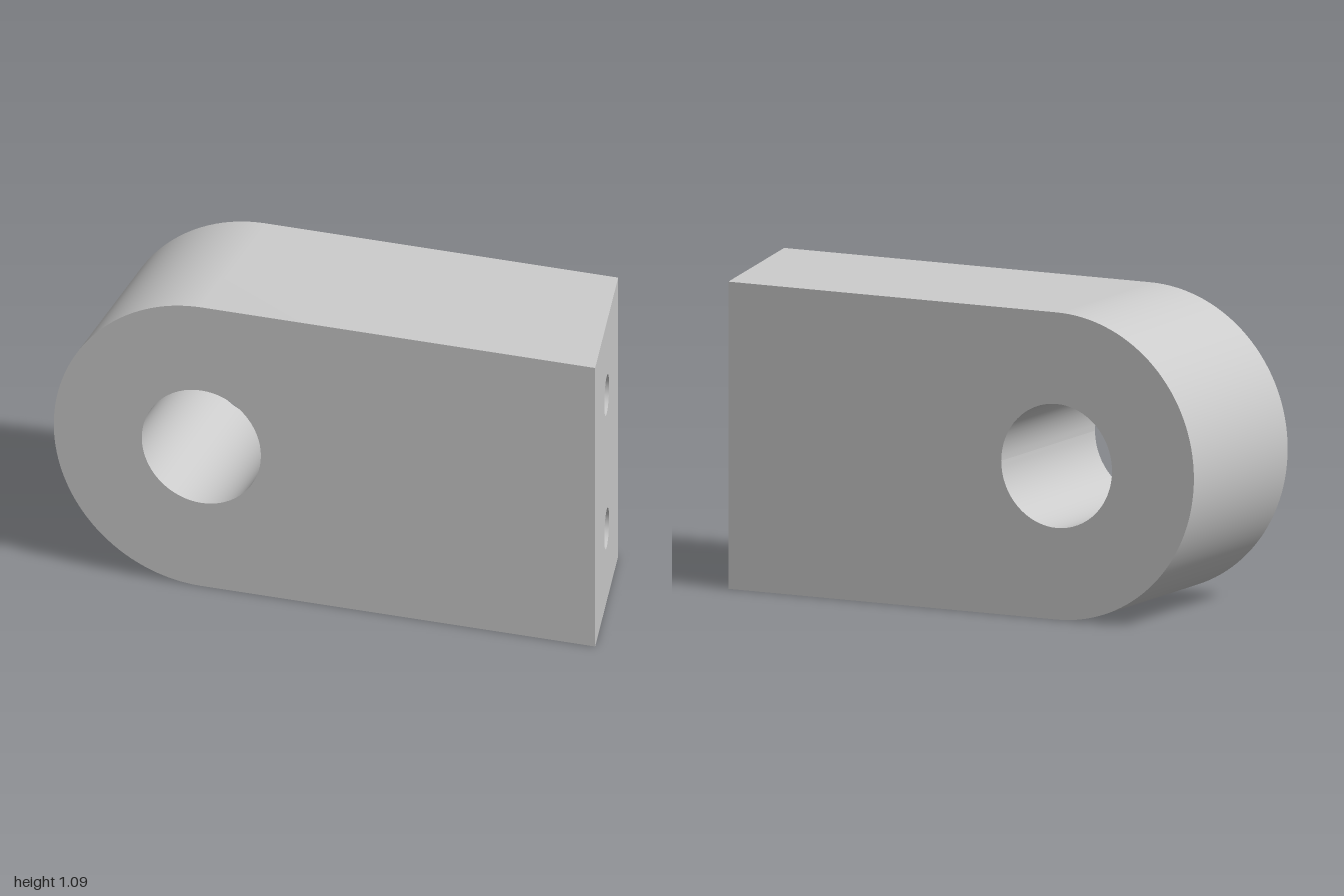
import * as THREE from 'three';

const R = 0.545;            // radius of the rounded end, half the height
const CX = -0.455;          // centre of the rounded end and cross bore
const HALF = 0.345;         // half depth
const BORE = 0.22;
const SCREW = 0.073;
const SCREW_END = 0.4;      // x of the bottom of the blind holes
const SCREW_Y = [0.285, 0.807];
const endX = z => 0.924 + 0.218 * z;   // slanted end

const material = new THREE.MeshStandardMaterial({ color: 0xcccccc });

// Points of an arc, mapped to 3D
function arc(from, to, n, fn) {
  return Array.from({ length: n + 1 }, (_, i) => {
    const a = from + (to - from) * i / n;
    return fn(Math.cos(a), Math.sin(a));
  });
}

// Smooth strip between two matching rows of points
function ruled(a, b) {
  const n = a.length;
  const index = [];
  for (let i = 0; i < n - 1; i++) index.push(i, n + i, n + i + 1, i, n + i + 1, i + 1);
  const g = new THREE.BufferGeometry().setFromPoints([...a, ...b]);
  g.setIndex(index);
  g.computeVertexNormals();
  return g;
}

// Outline at depth z: along the top, round the left end, along the bottom
function outline(z) {
  return [
    new THREE.Vector3(endX(z), 2 * R, z),
    ...arc(Math.PI / 2, Math.PI * 1.5, 64, (c, s) => new THREE.Vector3(CX + R * c, R + R * s, z)),
    new THREE.Vector3(endX(z), 0, z),
  ];
}

const boreCircle = z =>
  arc(Math.PI * 2, 0, 64, (c, s) => new THREE.Vector3(CX + BORE * c, R + BORE * s, z));

// Flat side face with the cross bore cut out
function sideFace(z) {
  const shape = new THREE.Shape(outline(z).map(p => new THREE.Vector2(p.x, p.y)));
  shape.holes.push(new THREE.Path(boreCircle(z).slice(0, -1).map(p => new THREE.Vector2(p.x, p.y))));
  const g = new THREE.ShapeGeometry(shape);
  g.translate(0, 0, z);
  if (z < 0) {
    g.index.array.reverse();
    g.computeVertexNormals();
  }
  return g;
}

// Slanted end face with the two screw holes cut out
function endFace() {
  const shape = new THREE.Shape([
    new THREE.Vector2(-HALF, 0), new THREE.Vector2(HALF, 0),
    new THREE.Vector2(HALF, 2 * R), new THREE.Vector2(-HALF, 2 * R),
  ]);
  for (const y of SCREW_Y) {
    const pts = arc(0, Math.PI * 2, 48, (c, s) => new THREE.Vector2(SCREW * c, y + SCREW * s));
    shape.holes.push(new THREE.Path(pts.slice(0, -1)));
  }
  const g = new THREE.ShapeGeometry(shape);
  const p = g.attributes.position;
  for (let i = 0; i < p.count; i++) {
    const z = -p.getX(i);
    p.setXYZ(i, endX(z), p.getY(i), z);
  }
  g.computeVertexNormals();
  return g;
}

export function createModel() {
  const model = new THREE.Group();
  model.name = 'roundEndedBlock';
  const add = (name, geometry) => {
    const mesh = new THREE.Mesh(geometry, material);
    mesh.name = name;
    model.add(mesh);
    return mesh;
  };

  // Block body
  add('outerWall', ruled(outline(HALF), outline(-HALF)));
  add('frontFace', sideFace(HALF));
  add('backFace', sideFace(-HALF));
  add('slantedEnd', endFace());

  // Large bore from front to back
  add('crossBore', ruled(boreCircle(HALF), boreCircle(-HALF)));

  // Blind screw holes in the slanted end
  for (const y of SCREW_Y) {
    const ring = xAt => arc(0, Math.PI * 2, 48,
      (c, s) => new THREE.Vector3(xAt(SCREW * c), y + SCREW * s, SCREW * c));
    add('screwHoleWall', ruled(ring(endX), ring(() => SCREW_END)));
    const bottom = add('screwHoleBottom', new THREE.CircleGeometry(SCREW, 48).rotateY(Math.PI / 2));
    bottom.position.set(SCREW_END, y, 0);
  }
  return model;
}
